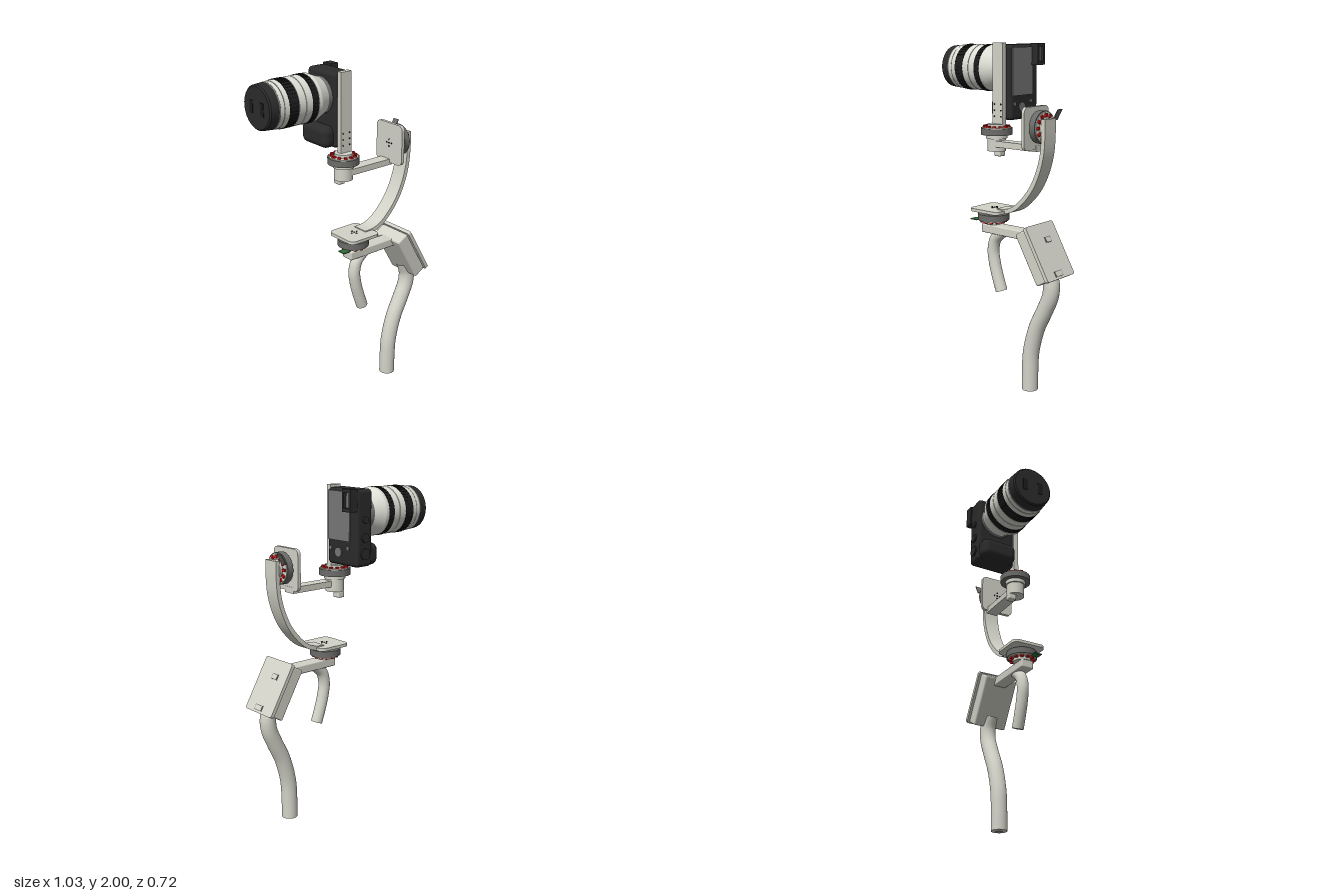
import * as THREE from 'three';
import { RoundedBoxGeometry } from 'three/addons/geometries/RoundedBoxGeometry.js';

const mat = (name, color, side = THREE.FrontSide) => {
  const m = new THREE.MeshStandardMaterial({ color, side });
  m.name = name;
  return m;
};

export function createModel() {
  const M = {
    metal: mat('pale metal', 0xd3d3c9),
    white: mat('lens white', 0xdedfd6),
    motor: mat('motor grey', 0x6c6c6a),
    black: mat('body black', 0x2b2b2b),
    rubber: mat('rubber black', 0x1c1c1c),
    screen: mat('screen grey', 0x777777),
    red: mat('coil red', 0xe01414),
    green: mat('board green', 0x2f6b3a),
  };
  const rig = new THREE.Group();
  rig.name = 'stabiliser';

  const add = (parent, name, geo, m, x = 0, y = 0, z = 0) => {
    const mesh = new THREE.Mesh(geo, m);
    mesh.name = name;
    mesh.position.set(x, y, z);
    parent.add(mesh);
    return mesh;
  };
  const box = (w, h, d) => new THREE.BoxGeometry(w, h, d);
  const cyl = (r0, r1, h, n = 40) => new THREE.CylinderGeometry(r0, r1, h, n);

  // Rounded rectangle in xy, centred, with thickness along z
  const plate = (w, h, t, r) => {
    const a = w / 2, b = h / 2, s = new THREE.Shape();
    s.moveTo(-a + r, -b).lineTo(a - r, -b).absarc(a - r, -b + r, r, -Math.PI / 2, 0);
    s.lineTo(a, b - r).absarc(a - r, b - r, r, 0, Math.PI / 2);
    s.lineTo(-a + r, b).absarc(-a + r, b - r, r, Math.PI / 2, Math.PI);
    s.lineTo(-a, -b + r).absarc(-a + r, -b + r, r, Math.PI, Math.PI * 1.5);
    return new THREE.ExtrudeGeometry(s, { depth: t, bevelEnabled: false, curveSegments: 8 }).translate(0, 0, -t / 2);
  };

  // Plus-shaped group of screws on a plate facing +z
  const screws = (parent, z) => {
    for (const [x, y] of [[0, 0], [0.02, 0], [-0.02, 0], [0, 0.02], [0, -0.02]])
      add(parent, 'screw', cyl(0.005, 0.005, 0.004, 10).rotateX(Math.PI / 2), M.rubber, x, y, z);
  };

  // Brushless motor along +y, with open coils on its upper side
  const motor = (name, x, y, z, rx) => {
    const g = new THREE.Group();
    g.name = name;
    g.position.set(x, y, z);
    g.rotation.x = rx;
    add(g, 'rotor', cyl(0.092, 0.092, 0.038), M.motor);
    add(g, 'rotorFlange', cyl(0.062, 0.062, 0.024), M.metal, 0, -0.03, 0);
    add(g, 'statorDisc', cyl(0.086, 0.086, 0.006), M.metal, 0, 0.021, 0);
    add(g, 'hub', cyl(0.052, 0.052, 0.022), M.metal, 0, 0.031, 0);
    for (let i = 0; i < 12; i++) {
      const a = (i / 12) * Math.PI * 2;
      const c = add(g, 'coil', box(0.02, 0.01, 0.016), M.red, Math.cos(a) * 0.069, 0.028, Math.sin(a) * 0.069);
      c.rotation.y = -a;
    }
    rig.add(g);
    return g;
  };

  // --- Handle: main grip and front tube, swept in the yz plane ---
  const X = 0.107;
  const tube = (name, pts, r) => {
    const curve = new THREE.CatmullRomCurve3(pts.map(([z, y]) => new THREE.Vector3(X, y, z)));
    add(rig, name, new THREE.TubeGeometry(curve, 48, r, 28), M.metal);
    // open end: a rim and a dark bore
    const end = curve.getPoint(0), t = curve.getTangent(0).negate();
    for (const [n, rad, m, o] of [['tubeEnd', r, M.metal, 0], ['tubeBore', r * 0.5, M.motor, 0.002]]) {
      const d = add(rig, n, new THREE.CircleGeometry(rad, 28), m);
      d.position.copy(end).addScaledVector(t, o);
      d.quaternion.setFromUnitVectors(new THREE.Vector3(0, 0, 1), t);
    }
  };
  tube('mainGrip', [[-0.286, 0.003], [-0.287, 0.12], [-0.295, 0.24], [-0.335, 0.39], [-0.392, 0.51], [-0.43, 0.6], [-0.436, 0.67], [-0.41, 0.75]], 0.048);
  tube('frontTube', [[-0.066, 0.56], [-0.038, 0.64], [-0.015, 0.72], [-0.004, 0.8], [-0.022, 0.87], [-0.08, 0.925]], 0.035);

  // --- Battery case, leaning backwards ---
  const pack = new THREE.Group();
  pack.name = 'batteryCase';
  pack.position.set(X, 0.841, -0.381);
  pack.rotation.x = Math.PI / 6;
  add(pack, 'caseBody', new RoundedBoxGeometry(0.216, 0.315, 0.082, 3, 0.01), M.metal, 0, 0, 0.012);
  add(pack, 'caseLid', plate(0.242, 0.33, 0.022, 0.015), M.metal, 0, 0, -0.04);
  for (const [x, y, w] of [[-0.02, 0.065, 0.05], [0.01, -0.135, 0.065]]) {
    add(pack, 'slotFrame', box(w, 0.034, 0.004), M.motor, x, y, -0.052);
    add(pack, 'slotTab', box(w - 0.008, 0.026, 0.004), M.metal, x, y, -0.0535);
  }
  rig.add(pack);
  add(rig, 'lowerArm', new RoundedBoxGeometry(0.082, 0.052, 0.37, 3, 0.008), M.metal, X, 0.932, -0.13);

  // --- Pan motor and its plate ---
  motor('panMotor', 0.1, 1.002, 0, Math.PI);
  add(rig, 'panBoard', box(0.05, 0.005, 0.05), M.green, 0.14, 0.978, 0.1);
  const base = new THREE.Group();
  base.name = 'panPlate';
  base.position.set(0.1, 1.046, -0.008);
  base.rotation.x = -Math.PI / 2;
  add(base, 'panPlateBody', plate(0.215, 0.215, 0.018, 0.035), M.metal);
  screws(base, 0.01);
  rig.add(base);

  // --- Curved strap from pan plate up to the roll motor ---
  const arc = new THREE.CatmullRomCurve3([[-0.06, 1.048], [-0.12, 1.052], [-0.175, 1.072], [-0.232, 1.115], [-0.305, 1.2],
    [-0.355, 1.3], [-0.383, 1.4], [-0.392, 1.5], [-0.392, 1.6]].map(([z, y]) => new THREE.Vector3(z, y, 0)));
  const outer = [], inner = [];
  for (let i = 0; i <= 40; i++) {
    const p = arc.getPoint(i / 40), t = arc.getTangent(i / 40);
    outer.push(new THREE.Vector2(p.x - t.y * 0.013, p.y + t.x * 0.013));
    inner.push(new THREE.Vector2(p.x + t.y * 0.013, p.y - t.x * 0.013));
  }
  const strap = new THREE.ExtrudeGeometry(new THREE.Shape([...outer, ...inner.reverse()]), { depth: 0.096, bevelEnabled: false });
  add(rig, 'curvedArm', strap.translate(0, 0, -0.048).rotateY(-Math.PI / 2), M.metal, 0.092, 0, 0);

  // --- Roll motor, its plate and the arm to the tilt motor ---
  motor('rollMotor', 0.085, 1.55, -0.342, -Math.PI / 2);
  const tab = add(rig, 'rollBoard', box(0.04, 0.07, 0.005), M.motor, 0.01, 1.615, -0.39);
  tab.rotation.x = -0.5;
  const rollPlate = new THREE.Group();
  rollPlate.name = 'rollPlate';
  rollPlate.position.set(0.085, 1.542, -0.293);
  add(rollPlate, 'rollPlateBody', plate(0.215, 0.24, 0.02, 0.03), M.metal);
  screws(rollPlate, 0.011);
  rig.add(rollPlate);
  add(rig, 'upperArm', box(0.075, 0.036, 0.33), M.metal, 0.055, 1.426, -0.14);

  // --- Tilt motor under the camera ---
  const TX = 0.042, TZ = 0.026;
  motor('tiltMotor', TX, 1.495, TZ, 0);
  add(rig, 'tiltHousing', cyl(0.054, 0.054, 0.077), M.metal, TX, 1.418, TZ);
  add(rig, 'tiltNub', new RoundedBoxGeometry(0.05, 0.036, 0.045, 2, 0.006), M.metal, 0.01, 1.362, 0.03);
  add(rig, 'cameraBar', box(0.032, 0.466, 0.075), M.metal, 0.034, 1.765, 0.012);
  for (const y of [1.58, 1.615, 1.65]) for (const z of [-0.012, 0.036])
    add(rig, 'barScrew', cyl(0.005, 0.005, 0.004, 10).rotateZ(Math.PI / 2), M.rubber, 0.0505, y, z);

  // --- Camera turned upright ---
  const CX = -0.112, CY = 1.845;
  const cam = new THREE.Group();
  cam.name = 'camera';
  add(cam, 'cameraBody', new RoundedBoxGeometry(0.246, 0.43, 0.12, 4, 0.022), M.black, CX, 1.772, 0.003);
  add(cam, 'handGrip', new RoundedBoxGeometry(0.225, 0.125, 0.13, 5, 0.04), M.black, CX - 0.004, 1.62, 0.06);
  add(cam, 'screenPanel', box(0.18, 0.275, 0.008), M.screen, CX + 0.022, 1.835, -0.059);
  for (const [x, y, r] of [[-0.085, 1.63, 0.028], [-0.165, 1.66, 0.012], [-0.02, 1.65, 0.012]])
    add(cam, 'button', cyl(r, r, 0.008, 20).rotateX(Math.PI / 2), M.screen, x, y, -0.059);
  // eyepiece: hollow frame around a pale window
  for (const s of [-1, 1]) {
    add(cam, 'eyepieceEnd', box(0.068, 0.02, 0.055), M.black, -0.202, 1.93 + s * 0.052, -0.08);
    add(cam, 'eyepieceSide', box(0.014, 0.124, 0.055), M.black, -0.202 + s * 0.027, 1.93, -0.08);
  }
  add(cam, 'eyepieceWindow', box(0.042, 0.086, 0.006), M.screen, -0.202, 1.93, -0.085);
  for (const [y, r] of [[1.63, 0.032], [1.72, 0.026], [1.82, 0.02]])
    add(cam, 'dial', cyl(r, r, 0.014, 28).rotateZ(Math.PI / 2), M.black, -0.238, y, 0.005);

  // --- Lens: coloured bands from mount to cap ---
  const bands = [
    ['lensMount', 0.06, 0.092, 0.106, 0.11, M.screen],
    ['lensTaper', 0.092, 0.158, 0.11, 0.138, M.white],
    ['rearRing', 0.158, 0.18, 0.138, 0.138, M.white],
    ['focusRing', 0.18, 0.223, 0.136, 0.136, M.rubber],
    ['barrel', 0.223, 0.265, 0.136, 0.136, M.white],
    ['barrelGroove', 0.265, 0.269, 0.133, 0.133, M.screen],
    ['frontBarrel', 0.269, 0.313, 0.136, 0.136, M.white],
    ['zoomRing', 0.313, 0.377, 0.134, 0.134, M.rubber],
    ['frontRing', 0.377, 0.405, 0.134, 0.132, M.white],
    ['ringGroove', 0.405, 0.41, 0.13, 0.13, M.screen],
    ['filterRing', 0.41, 0.432, 0.131, 0.13, M.white],
    ['capEdge', 0.432, 0.44, 0.129, 0.129, M.screen],
    ['lensCap', 0.44, 0.49, 0.129, 0.125, M.black],
    ['capFace', 0.49, 0.498, 0.125, 0.117, M.black],
  ];
  for (const [name, z0, z1, r0, r1, m] of bands) {
    add(cam, name, cyl(r1, r0, z1 - z0, 56).rotateX(Math.PI / 2), m, CX, CY, (z0 + z1) / 2);
    if (m !== M.rubber) continue;
    for (let i = 0; i < 40; i++) { // grip ribs
      const a = (i / 40) * Math.PI * 2;
      const rib = add(cam, 'gripRib', box(0.006, 0.011, z1 - z0 - 0.006), m,
        CX + Math.cos(a) * r0, CY + Math.sin(a) * r0, (z0 + z1) / 2);
      rib.rotation.z = a;
    }
  }
  for (const s of [-1, 1])
    add(cam, 'capPinch', box(0.03, 0.075, 0.005), M.rubber, CX + s * 0.05, CY, 0.498);
  rig.add(cam);

  // The whole rig faces diagonally
  rig.rotation.y = -Math.PI / 4;
  const model = new THREE.Group();
  model.name = 'cameraStabiliser';
  model.add(rig);
  return model;
}
